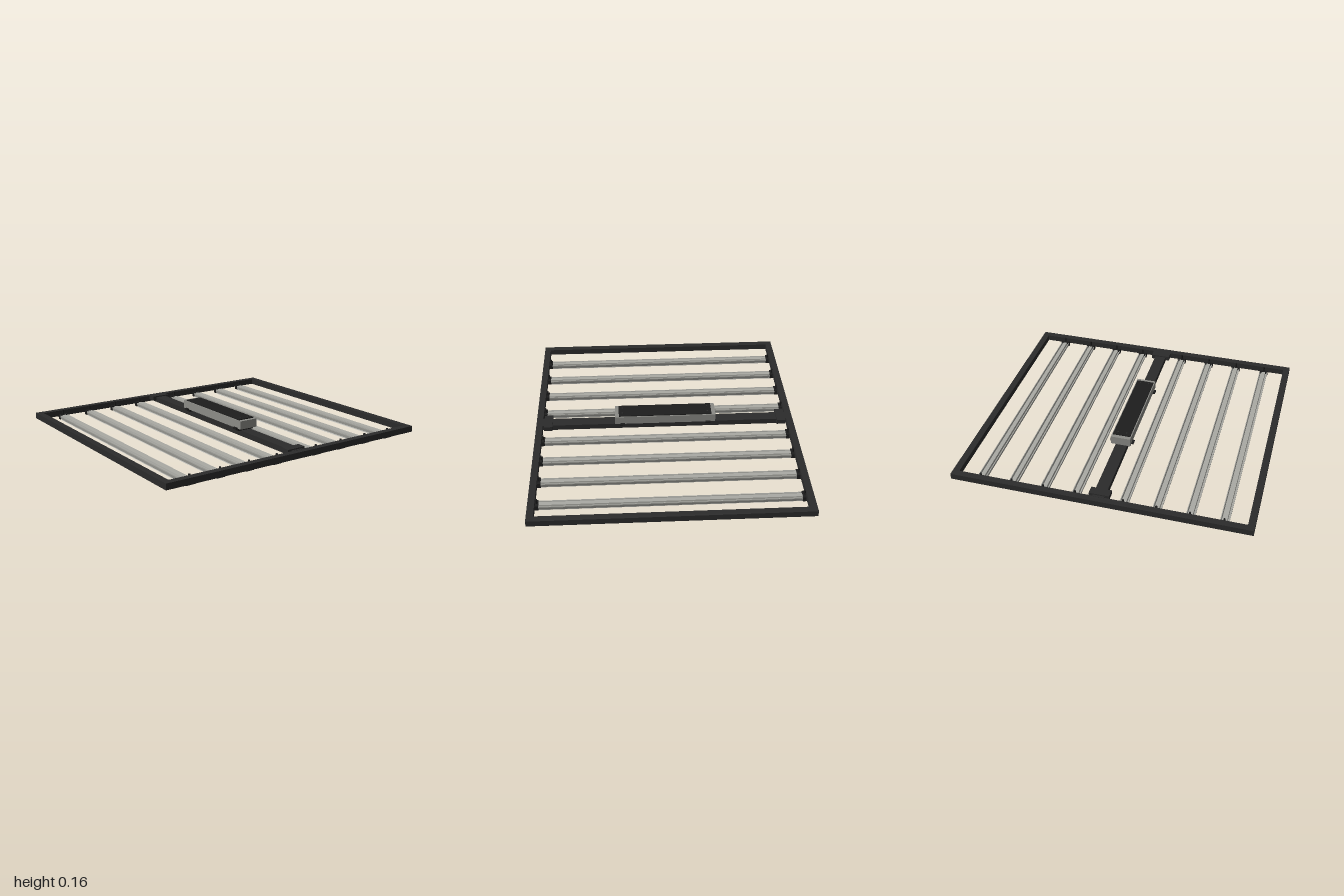
import * as THREE from 'three';

const material = (color, double = false) =>
  new THREE.MeshStandardMaterial({ color, side: double ? THREE.DoubleSide : THREE.FrontSide });

export function createModel() {
  const model = new THREE.Group();
  const black = material(0x2b2b2b);
  const darker = material(0x1d1d1d);
  const metal = material(0xaaaaa4);
  const driverGrey = material(0x8c8c87);
  const lens = material(0xd4d4ce);

  // Box given by its centre in x and z, its bottom and top in y
  function box(parent, name, mat, x, z, w, d, y0, y1) {
    const mesh = new THREE.Mesh(new THREE.BoxGeometry(w, y1 - y0, d), mat);
    mesh.position.set(x, (y0 + y1) / 2, z);
    mesh.name = name;
    parent.add(mesh);
    return mesh;
  }

  // Rectangular outer frame
  const frame = new THREE.Group();
  frame.name = 'frame';
  for (const s of [-1, 1]) {
    box(frame, 'frameSide', black, s * 0.9775, 0, 0.045, 1.73, 0.032, 0.073);
    box(frame, 'frameEnd', black, 0, s * 0.8875, 2, 0.045, 0.032, 0.073);
  }
  model.add(frame);

  // Cross-section of a lamp bar: flared channel with a raised middle rib
  const half = [[0.025, 0.013], [0.03, 0.032], [0.03, 0.04], [0.025, 0.04], [0.021, 0.026], [0.016, 0.026], [0.014, 0.042]];
  const section = new THREE.Shape();
  half.forEach(([x, y], i) => (i ? section.lineTo(x, y) : section.moveTo(x, y)));
  [...half].reverse().forEach(([x, y]) => section.lineTo(-x, y));
  section.closePath();
  const barGeometry = new THREE.ExtrudeGeometry(section, { depth: 1.71, bevelEnabled: false });
  barGeometry.translate(0, 0, -0.855);

  // Eight lamp bars hung between the frame ends
  const boltGeometry = new THREE.CylinderGeometry(0.007, 0.007, 0.035, 12);
  for (const side of [-1, 1]) {
    for (let i = 0; i < 4; i++) {
      const bar = new THREE.Group();
      bar.name = 'lampBar';
      bar.position.x = side * (0.16 + i * 0.216);
      const body = new THREE.Mesh(barGeometry, metal);
      body.name = 'heatSink';
      bar.add(body);
      box(bar, 'lightStrip', lens, 0, 0, 0.034, 1.7, 0.002, 0.0132);

      // Clips and bolts at both ends
      for (const end of [-1, 1]) {
        box(bar, 'endClip', darker, 0, end * 0.857, 0.063, 0.026, 0.012, 0.046);
        const bolt = new THREE.Mesh(boltGeometry, darker);
        bolt.name = 'clipBolt';
        bolt.position.set(0, 0.06, end * 0.857);
        bar.add(bolt);
      }
      model.add(bar);
    }
  }

  // Centre beam with a mounting plate at each end
  box(model, 'centreBeam', black, 0, 0, 0.08, 1.74, 0.036, 0.074);
  for (const end of [-1, 1]) {
    box(model, 'beamPlate', black, 0, end * 0.825, 0.136, 0.06, 0.05, 0.082);
  }

  // Power supply raised on two cross feet
  const supply = new THREE.Group();
  supply.name = 'powerSupply';
  box(supply, 'supplyBody', driverGrey, 0, 0, 0.136, 0.706, 0.092, 0.15);
  box(supply, 'supplyCover', darker, 0, 0, 0.122, 0.652, 0.15, 0.156);
  for (const end of [-1, 1]) {
    box(supply, 'supplyFoot', darker, 0, end * 0.302, 0.126, 0.036, 0.073, 0.093);
    box(supply, 'footTabs', darker, 0, end * 0.302, 0.164, 0.036, 0.086, 0.098);
    for (const s of [-1, 1]) {
      const screw = new THREE.Mesh(new THREE.CylinderGeometry(0.006, 0.006, 0.006, 12), black);
      screw.name = 'coverScrew';
      screw.position.set(s * 0.03, 0.157, end * 0.3);
      supply.add(screw);
    }
  }
  model.add(supply);

  return model;
}
